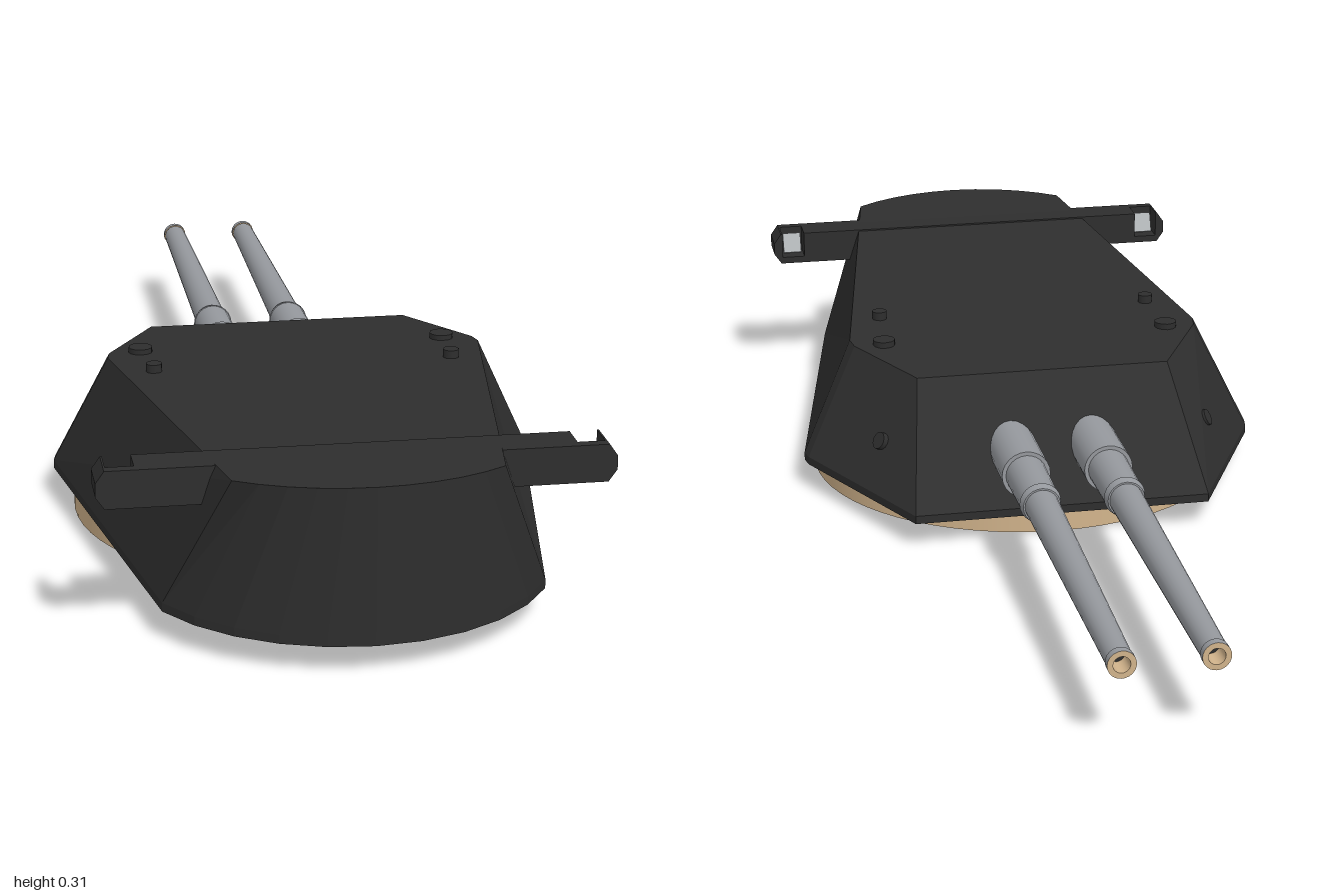
import * as THREE from 'three';

const mat = (name, color, side = THREE.FrontSide) => {
  const m = new THREE.MeshStandardMaterial({ color, side });
  m.name = name;
  return m;
};

const roofY = (z) => 0.255 + 0.054 * z;

// Mirrored outline: front corner, blunt shoulder, then a circular rear arc
function outline(front, arcX) {
  const R = 0.357, steps = 5;
  const half = front.map((p) => [...p]);
  const a0 = Math.asin(arcX / R);
  for (let i = 0; i < steps; i++) {
    const a = a0 * (1 - i / steps);
    half.push([R * Math.sin(a), 1 - R + R * Math.cos(a)]);
  }
  return [...half, [0, 1], ...half.slice().reverse().map(([x, z]) => [-x, z])];
}

// Faceted armour shell skinned between base, lip and sloping roof outlines
function shellGeometry() {
  const base = outline([[0.27, -0.19], [0.425, 0.13], [0.43, 0.155]], 0.31);
  const top = outline([[0.235, 0], [0.328, 0.17], [0.333, 0.2]], 0.213);
  const rings = [
    base.map(([x, z]) => [x, 0.048, z]),
    base.map(([x, z]) => [x, 0.063, z]),
    top.map(([x, z]) => [x, roofY(z), z]),
  ];
  const pos = [];
  const tri = (...pts) => pts.forEach((p) => pos.push(...p));
  const n = base.length;
  for (let i = 0; i < n; i++) {
    const j = (i + 1) % n;
    for (let r = 0; r < 2; r++) {
      const lo = rings[r], hi = rings[r + 1];
      tri(lo[i], hi[i], lo[j]);
      tri(hi[i], hi[j], lo[j]);
    }
    tri([0, roofY(0.4), 0.4], rings[2][j], rings[2][i]);
    tri([0, 0.048, 0.4], rings[0][i], rings[0][j]);
  }
  const g = new THREE.BufferGeometry();
  g.setAttribute('position', new THREE.Float32BufferAttribute(pos, 3));
  g.computeVertexNormals();
  return g;
}

// Rangefinder profile in x/y, with optional window notches near both ends
function armShape(notched) {
  const half = [[0.4, 0.237], [0.414, 0.257], [0.414, 0.28], [0.4, 0.3]];
  if (notched) half.push([0.397, 0.3], [0.397, 0.25], [0.352, 0.25], [0.352, 0.3]);
  const pts = [...half, ...half.slice().reverse().map(([x, y]) => [-x, y])];
  return new THREE.Shape(pts.map(([x, y]) => new THREE.Vector2(x, y)));
}

export function createModel() {
  const armour = mat('dark armour', 0x2e2e2e);
  const steel = mat('gun grey', 0x96999e);
  const tan = mat('tan', 0xd2b48c, THREE.DoubleSide);
  const glass = mat('lens grey', 0xb4b8ba);

  const model = new THREE.Group();
  model.name = 'gunTurret';
  const add = (name, geo, material, parent = model) => {
    const m = new THREE.Mesh(geo, material);
    m.name = name;
    parent.add(m);
    return m;
  };

  add('turretShell', shellGeometry(), armour);

  // Open ring under the turret
  add('baseRing', new THREE.CylinderGeometry(0.4, 0.4, 0.05, 64, 1, true), tan)
    .position.set(0, 0.025, 0.24);

  // Rangefinder: notched front layer and solid back layer
  const extrude = (notched, depth) =>
    new THREE.ExtrudeGeometry(armShape(notched), { depth, bevelEnabled: false });
  add('rangefinderFront', extrude(true, 0.05), armour).position.z = 0.78;
  add('rangefinderBack', extrude(false, 0.018), armour).position.z = 0.83;

  for (const s of [-1, 1]) {
    const side = s > 0 ? 'left' : 'right';

    // Angled lens inside each rangefinder window
    const lens = add(side + 'Lens', new THREE.BoxGeometry(0.036, 0.04, 0.012), glass);
    lens.position.set(s * 0.3745, 0.27, 0.813);
    lens.rotation.x = 0.4;

    // Gun barrel: stepped sections along -z as [start, end, startRadius, endRadius]
    const gun = new THREE.Group();
    gun.name = side + 'Gun';
    gun.position.set(s * 0.075, 0.142, 0);
    model.add(gun);
    const sections = [
      ['breechSleeve', 0.06, -0.225, 0.044, 0.044],
      ['middleSleeve', -0.225, -0.355, 0.037, 0.035],
      ['sleeveCollar', -0.355, -0.37, 0.037, 0.033],
      ['barrel', -0.37, -0.985, 0.03, 0.022],
      ['muzzle', -0.985, -1, 0.0235, 0.0235],
    ];
    for (const [name, z0, z1, r0, r1] of sections) {
      const open = name === 'muzzle' || name === 'barrel';
      const g = new THREE.CylinderGeometry(r1, r0, z0 - z1, 24, 1, open);
      add(name, g.rotateX(-Math.PI / 2), steel, gun).position.z = (z0 + z1) / 2;
    }
    add('muzzleFace', new THREE.RingGeometry(0.014, 0.0235, 24).rotateY(Math.PI), tan, gun)
      .position.z = -1;
    add('boreWall', new THREE.CylinderGeometry(0.014, 0.014, 0.04, 24, 1, true)
      .rotateX(Math.PI / 2), tan, gun).position.z = -0.98;
    add('boreEnd', new THREE.CircleGeometry(0.014, 24).rotateY(Math.PI), armour, gun)
      .position.z = -0.96;

    // Roof hatch and periscope
    add(side + 'Hatch', new THREE.CylinderGeometry(0.021, 0.021, 0.02, 12), armour)
      .position.set(s * 0.272, roofY(0.17), 0.17);
    add(side + 'Periscope', new THREE.CylinderGeometry(0.014, 0.014, 0.03, 12), armour)
      .position.set(s * 0.262, roofY(0.3), 0.3);

    // Sight port on the angled cheek plate
    const port = add(side + 'SightPort', new THREE.CylinderGeometry(0.016, 0.016, 0.024, 12), armour);
    port.position.set(s * 0.302, 0.14, -0.013);
    port.quaternion.setFromUnitVectors(
      new THREE.Vector3(0, 1, 0),
      new THREE.Vector3(s * 0.0697, 0.0407, -0.0328).normalize()
    );
  }
  return model;
}
